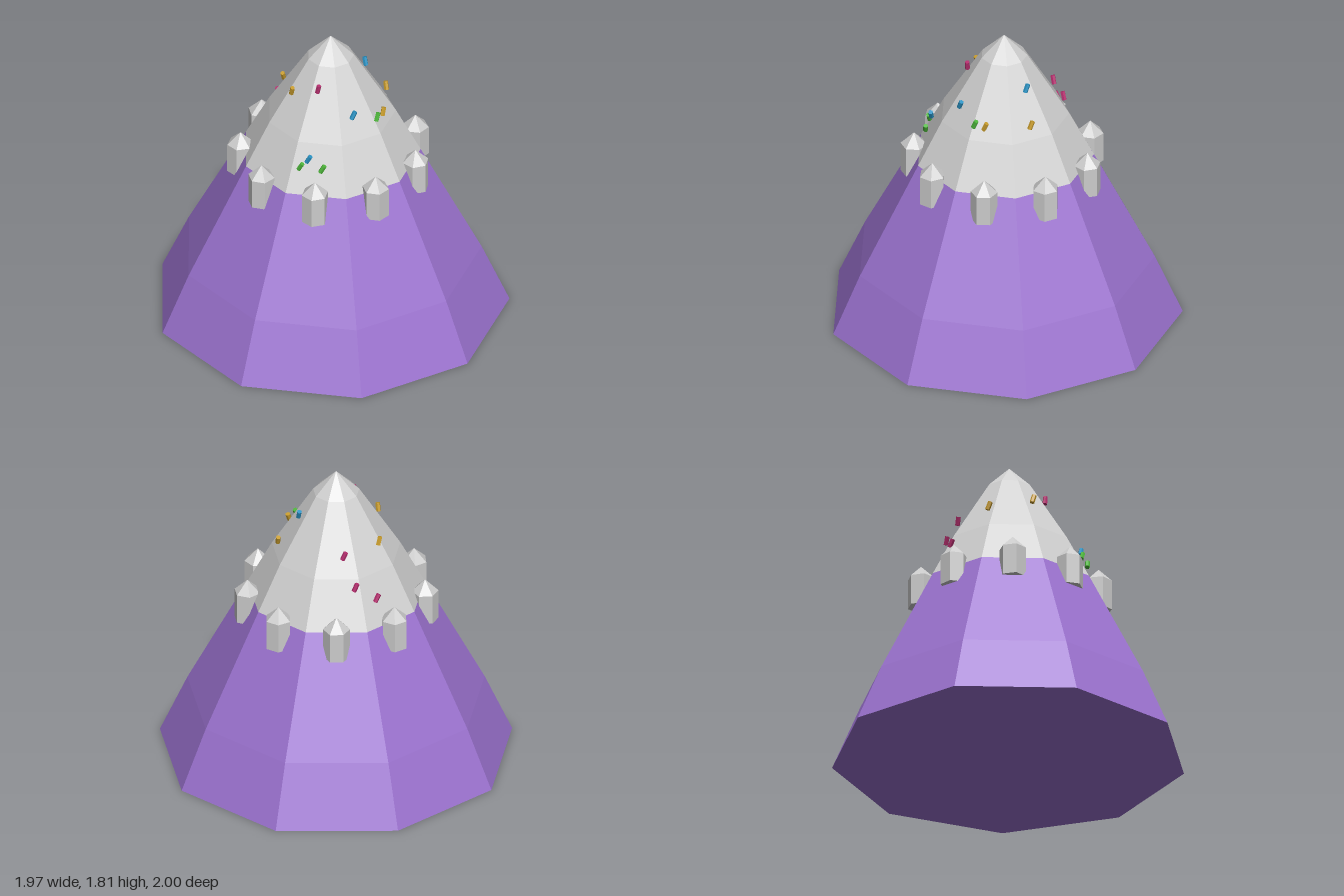
import * as THREE from 'three';

const flat = (name, color) => {
  const m = new THREE.MeshStandardMaterial({ color, flatShading: true });
  m.name = name;
  return m;
};

// Faceted solid of revolution from [radius, height] pairs, listed bottom to top
function facetedLathe(profile, sides, phiStart = 0) {
  const points = profile.map(([r, y]) => new THREE.Vector2(r, y));
  const geometry = new THREE.LatheGeometry(points, sides, phiStart).toNonIndexed();
  geometry.computeVertexNormals();
  return geometry;
}

export function createModel() {
  const purple = flat('purple', 0x9b72cf);
  const snow = flat('snow grey', 0xd0d0d0);
  const stone = flat('crystal grey', 0xcccccc);
  const candy = {
    pink: flat('pink', 0xb82f70),
    yellow: flat('yellow', 0xc89c2c),
    blue: flat('blue', 0x2a93c4),
    green: flat('green', 0x4fb83c),
  };

  const model = new THREE.Group();
  model.name = 'mountain';
  const peak = new THREE.Group();
  peak.position.x = 0.03;
  model.add(peak);

  const add = (parent, name, geometry, material) => {
    const mesh = new THREE.Mesh(geometry, material);
    mesh.name = name;
    parent.add(mesh);
    return mesh;
  };

  // Nine-sided mountain, split at the snow line
  const start = -Math.PI / 2;
  const snowLine = [0.511, 1.03];
  add(peak, 'slope', facetedLathe([[0, 0], [1.015, 0], [0.857, 0.36], snowLine], 9, start), purple);
  add(peak, 'snowCap', facetedLathe([snowLine, [0.37, 1.3], [0.133, 1.68], [0, 1.81]], 9, start), snow);

  // Ring of pointed hexagonal crystals, one on each face
  const crystal = facetedLathe([[0, 0.89], [0.077, 0.89], [0.077, 1.07], [0, 1.145]], 6);
  for (let i = 0; i < 9; i++) {
    const a = (i * Math.PI * 2) / 9;
    const mesh = add(peak, 'crystal', crystal, stone);
    mesh.position.set(0.512 * Math.cos(a), 0, 0.512 * Math.sin(a));
    mesh.rotation.y = i * 0.5;
  }

  // Scattered sprinkles, leaning sideways along the slope: colour, x, y, z, lean
  const sprinkles = [
    ['pink', -0.13, 1.2, -0.42, 0.5],
    ['pink', -0.01, 1.27, -0.4, 0.4],
    ['pink', 0.04, 1.43, -0.31, 0.4],
    ['pink', -0.105, 1.58, 0.165, 0.2],
    ['yellow', -0.18, 1.45, -0.21, 0.4],
    ['yellow', -0.22, 1.52, 0.045, 0.3],
    ['yellow', 0.365, 1.39, 0, 0.4],
    ['yellow', 0.26, 1.39, 0.24, 0.4],
    ['blue', 0.25, 1.565, -0.03, 0.4],
    ['blue', 0.06, 1.445, 0.295, 0.45],
    ['blue', -0.225, 1.235, 0.335, 0.5],
    ['green', 0.21, 1.39, 0.28, 0.4],
    ['green', -0.27, 1.19, 0.325, 0.5],
    ['green', -0.165, 1.195, 0.4, 0.5],
  ];
  const rod = new THREE.CylinderGeometry(0.014, 0.014, 0.05, 6);
  for (const [color, x, y, z, lean] of sprinkles) {
    const mesh = add(model, color + 'Sprinkle', rod, candy[color]);
    mesh.position.set(x, y, z);
    mesh.rotation.set(0, Math.atan2(x - 0.03, z), -lean);
  }

  return model;
}
